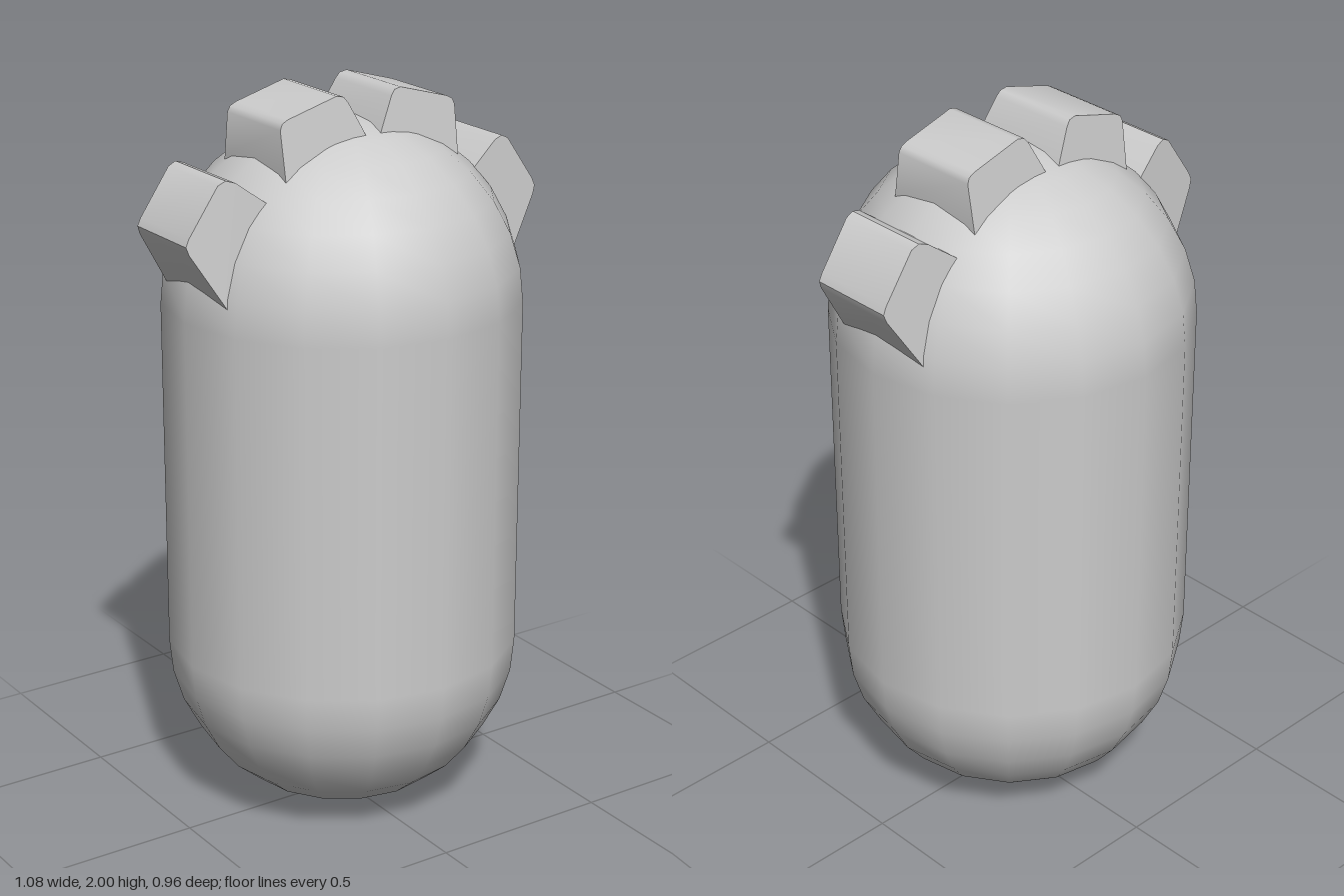
import * as THREE from 'three';
import { toCreasedNormals } from 'three/addons/utils/BufferGeometryUtils.js';

const RADIUS = 0.48;
const CAP_Y = 1.44; // centre of the upper dome

// Block with a front profile [x, y] and depth that narrows away from the dome
function taperedBlock(profile, angle, side) {
  const shape = new THREE.Shape(profile.map(([x, y]) => new THREE.Vector2(x * side, y)));
  const geometry = new THREE.ExtrudeGeometry(shape, { depth: 1, bevelEnabled: false });
  const pos = geometry.attributes.position;
  for (let i = 0; i < pos.count; i++) {
    const height = pos.getX(i) * side * Math.sin(angle) + (pos.getY(i) - CAP_Y) * Math.cos(angle);
    const halfDepth = 0.143 - (height - 0.445) * 0.17;
    pos.setZ(i, pos.getZ(i) > 0.5 ? halfDepth : -halfDepth);
  }
  return toCreasedNormals(geometry, THREE.MathUtils.degToRad(42));
}

export function createModel() {
  const group = new THREE.Group();
  const material = new THREE.MeshStandardMaterial({ color: 0xcccccc });
  const add = (name, geometry) => {
    const mesh = new THREE.Mesh(geometry, material);
    mesh.name = name;
    group.add(mesh);
    return mesh;
  };

  // Capsule body
  add('body', new THREE.CapsuleGeometry(RADIUS, CAP_Y - RADIUS, 8, 16)).position.y = 0.96;

  // Crest blocks: rounded outer corners, roots sunk into the dome
  const upper = [
    [0.005, 1.855], [0.03, 1.91], [0.066, 1.981], [0.078, 1.996], [0.098, 2],
    [0.243, 1.959], [0.26, 1.95], [0.267, 1.935], [0.265, 1.82], [0.264, 1.76],
  ];
  const lower = [
    [0.24, 1.7], [0.32, 1.762], [0.4, 1.822], [0.425, 1.83], [0.447, 1.82],
    [0.532, 1.698], [0.541, 1.678], [0.534, 1.657], [0.45, 1.52], [0.42, 1.471],
  ];
  for (const [label, side] of [['left', 1], ['right', -1]]) {
    add(label + 'UpperBlock', taperedBlock(upper, THREE.MathUtils.degToRad(17), side));
    add(label + 'LowerBlock', taperedBlock(lower, THREE.MathUtils.degToRad(56), side));
  }

  return group;
}
